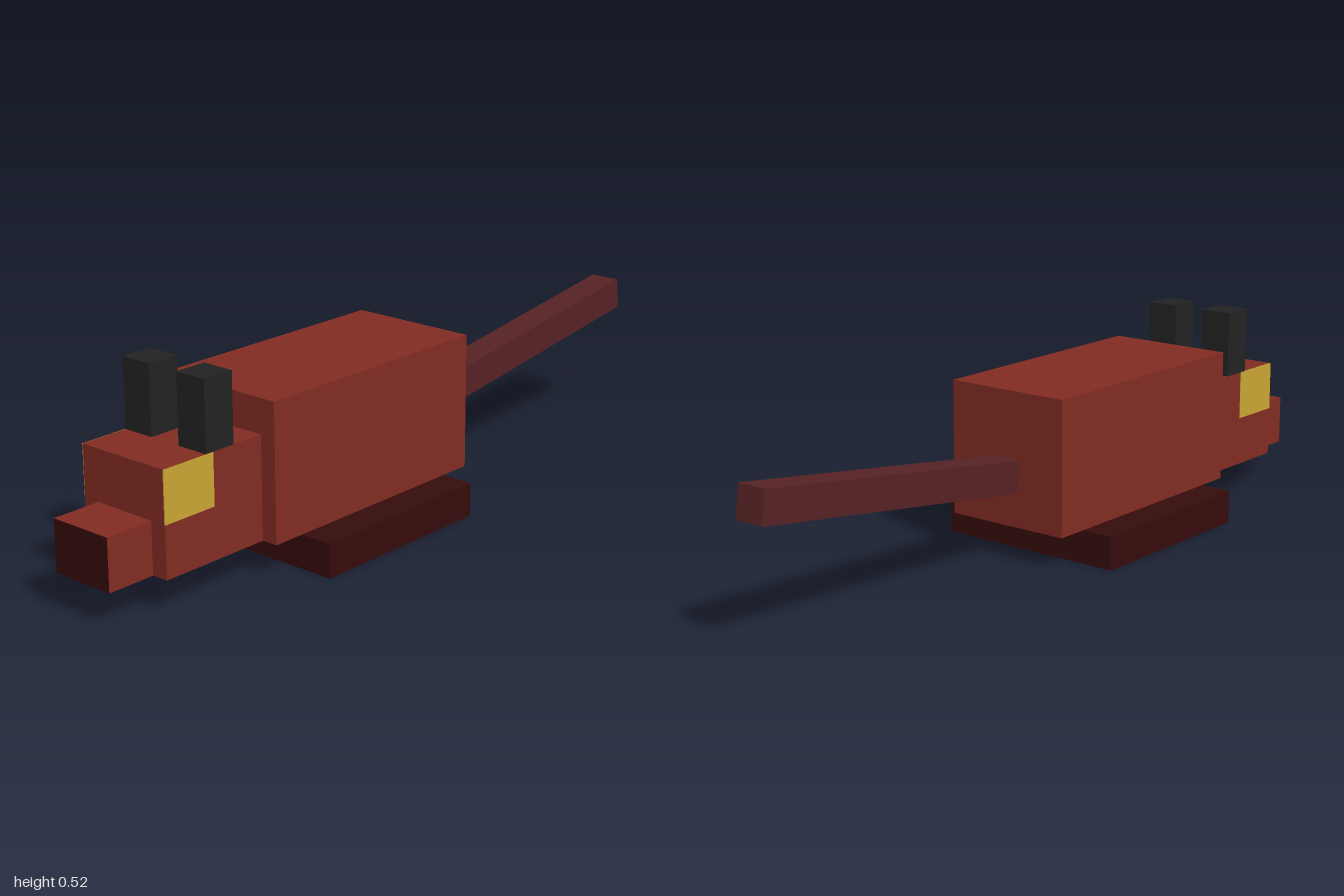
import * as THREE from 'three';

const material = (name, color) => {
  const m = new THREE.MeshStandardMaterial({ color });
  m.name = name;
  return m;
};

export function createModel() {
  const fur = material('rust fur', 0x802b22);
  const belly = material('dusty belly', 0x824a4b);
  const dark = material('dark maroon', 0x350b0b);
  const black = material('ear black', 0x222222);
  const yellow = material('eye yellow', 0xc8a535);
  const tailBrown = material('tail brown', 0x562224);

  const model = new THREE.Group();
  model.name = 'blockAnimal';

  // Box given by its minimum and maximum corners
  const box = (name, mat, min, max) => {
    const size = max.map((v, i) => v - min[i]);
    const mesh = new THREE.Mesh(new THREE.BoxGeometry(...size), mat);
    mesh.position.set(...max.map((v, i) => (v + min[i]) / 2));
    mesh.name = name;
    model.add(mesh);
    return mesh;
  };

  // Face order: left, right, top, bottom, front, back
  const furred = [fur, fur, fur, belly, fur, fur];
  const nosed = [fur, fur, fur, belly, dark, fur];

  // Feet slab, body, head and snout
  box('feet', dark, [-0.261, 0, -0.045], [0.261, 0.087, 0.478]);
  box('body', furred, [-0.174, 0.087, -0.131], [0.174, 0.436, 0.565]);
  box('head', furred, [-0.131, 0.087, 0.565], [0.131, 0.348, 0.87]);
  box('snout', nosed, [-0.087, 0.087, 0.87], [0.087, 0.218, 1]);

  // Ears and thin eye plates, mirrored
  for (const [side, s] of [['left', 1], ['right', -1]]) {
    const span = (a, b) => [Math.min(a * s, b * s), Math.max(a * s, b * s)];
    const [e0, e1] = span(0.044, 0.131);
    box(side + 'Ear', black, [e0, 0.348, 0.653], [e1, 0.523, 0.74]);
    const [p0, p1] = span(0.129, 0.132);
    box(side + 'Eye', yellow, [p0, 0.218, 0.718], [p1, 0.348, 0.87]);
  }

  // Tail, tilted up towards its tip
  const tail = new THREE.Mesh(new THREE.BoxGeometry(0.083, 0.083, 0.867), tailBrown);
  tail.name = 'tail';
  tail.position.set(0, 0.281, -0.565);
  tail.rotation.x = THREE.MathUtils.degToRad(8);
  model.add(tail);

  return model;
}
